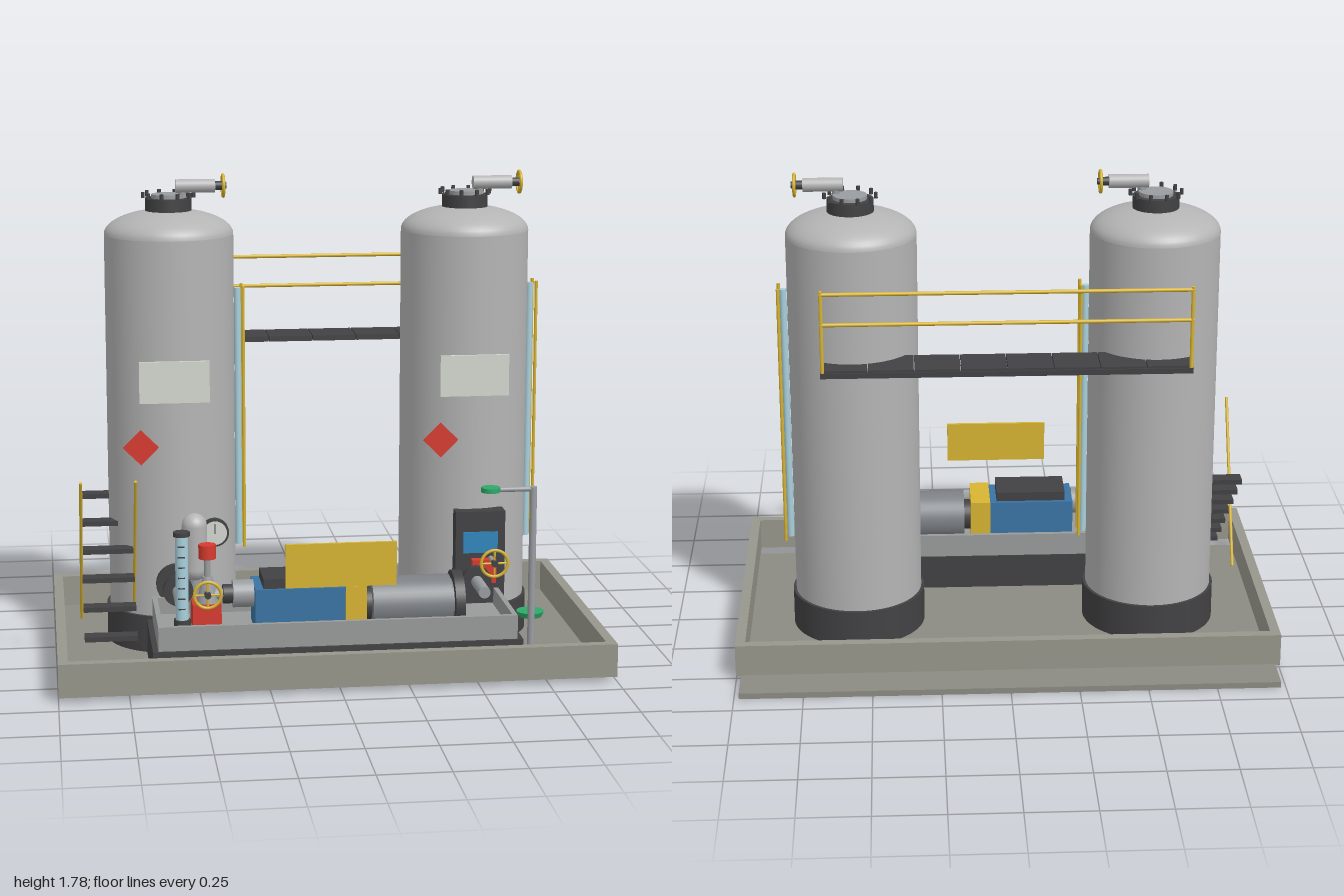
import * as THREE from 'three';

const mat = (color, side = THREE.FrontSide) => new THREE.MeshStandardMaterial({ color, side });
const M = {
  concrete: mat(0x98978c), slab: mat(0x8c8b82), steel: mat(0xb4b4b4), pipe: mat(0x9a9da0), dark: mat(0x424244),
  skid: mat(0x999b9b), yellow: mat(0xd8b432), blue: mat(0x3a74a4), glass: mat(0xa9d0dc), red: mat(0xd63a2e),
  green: mat(0x2fa86a), sign: mat(0xd4d8d0), screen: mat(0x2f86bd), motor: mat(0x7c8085),
};

function add(parent, name, geometry, material, x = 0, y = 0, z = 0) {
  const mesh = new THREE.Mesh(geometry, material);
  mesh.name = name;
  mesh.position.set(x, y, z);
  parent.add(mesh);
  return mesh;
}

// Box given by its limits on each axis
function box(parent, name, m, x0, x1, y0, y1, z0, z1) {
  return add(parent, name, new THREE.BoxGeometry(x1 - x0, y1 - y0, z1 - z0), m,
    (x0 + x1) / 2, (y0 + y1) / 2, (z0 + z1) / 2);
}

// Cylinder between two points
function rod(parent, name, m, a, b, r, r2 = r, sides = 24) {
  const p = new THREE.Vector3(...a), q = new THREE.Vector3(...b);
  const d = q.clone().sub(p);
  const mesh = add(parent, name, new THREE.CylinderGeometry(r2, r, d.length(), sides), m);
  mesh.position.copy(p).add(q).multiplyScalar(0.5);
  mesh.quaternion.setFromUnitVectors(new THREE.Vector3(0, 1, 0), d.normalize());
  return mesh;
}

// Handwheel with its axle along z
function handwheel(parent, x, y, z, r) {
  const wheel = new THREE.Group();
  wheel.name = 'handwheel';
  wheel.position.set(x, y, z);
  add(wheel, 'rim', new THREE.TorusGeometry(r, 0.006, 8, 32), M.yellow);
  rod(wheel, 'hub', M.dark, [0, 0, -0.012], [0, 0, 0.012], 0.012);
  for (let i = 0; i < 2; i++) {
    const t = i * Math.PI / 2, c = r * Math.cos(t), s = r * Math.sin(t);
    rod(wheel, 'spoke', M.yellow, [-c, -s, 0], [c, s, 0], 0.004, 0.004, 8);
  }
  parent.add(wheel);
  return wheel;
}

// Rectangular ring of four walls
function wallRing(parent, name, m, x, z0, z1, y0, y1, t) {
  box(parent, name, m, -x, x, y0, y1, z1 - t, z1);
  box(parent, name, m, -x, x, y0, y1, z0, z0 + t);
  for (const s of [-1, 1]) box(parent, name, m, s * (x - t / 2) - t / 2, s * (x - t / 2) + t / 2, y0, y1, z0 + t, z1 - t);
}

function tank(x) {
  const g = new THREE.Group();
  g.name = 'storageTank';
  g.position.set(x, 0, -0.05);
  rod(g, 'skirt', M.dark, [0, 0.02, 0], [0, 0.16, 0], 0.249, 0.249, 64);
  const profile = [[0.238, 0.15], [0.238, 1.556]].map(p => new THREE.Vector2(...p));
  add(g, 'shell', new THREE.LatheGeometry(profile, 64), M.steel);
  const dome = [];
  for (let i = 0; i <= 14; i++) {
    const t = i / 14 * Math.PI / 2;
    dome.push(new THREE.Vector2(0.238 * Math.cos(t), 1.556 + 0.092 * Math.sin(t)));
  }
  add(g, 'dome', new THREE.LatheGeometry(dome, 64), M.steel);

  // Top manway with bolts and vent valve
  rod(g, 'manwayNeck', M.dark, [0, 1.62, 0], [0, 1.688, 0], 0.085, 0.085, 40);
  rod(g, 'manwayCover', M.pipe, [0, 1.688, 0], [0, 1.702, 0], 0.062, 0.062, 40);
  for (let i = 0; i < 10; i++) {
    const t = i / 10 * Math.PI * 2, c = 0.093 * Math.cos(t), s = 0.093 * Math.sin(t);
    rod(g, 'bolt', M.dark, [c, 1.688, s], [c, 1.71, s], 0.007, 0.007, 8);
  }
  rod(g, 'ventStem', M.pipe, [0.05, 1.69, 0.025], [0.05, 1.73, 0.025], 0.015);
  rod(g, 'ventValve', M.steel, [0.025, 1.733, 0.027], [0.17, 1.733, 0.027], 0.025);
  rod(g, 'ventSpindle', M.dark, [0.17, 1.733, 0.027], [0.2, 1.733, 0.027], 0.016);
  handwheel(g, 0.2, 1.733, 0.027, 0.039).rotation.y = Math.PI / 2;

  // Level gauge on the side
  rod(g, 'gaugeGlass', M.glass, [0.252, 0.37, 0], [0.252, 1.35, 0], 0.013);
  for (const s of [-1, 1]) rod(g, 'gaugeGuard', M.yellow, [0.27, 0.365, s * 0.036], [0.27, 1.36, s * 0.036], 0.006, 0.006, 8);

  // Blank label and hazard diamond
  box(g, 'labelPlate', M.sign, -0.128, 0.128, 0.967, 1.12, 0.236, 0.248);
  const diamond = add(g, 'hazardDiamond', new THREE.BoxGeometry(0.092, 0.092, 0.01), M.red, -0.125, 0.805, 0.247);
  diamond.rotation.z = Math.PI / 4;
  return g;
}

function walkway() {
  const g = new THREE.Group();
  g.name = 'walkway';
  for (let i = 0; i < 8; i++) {
    const x = -0.668 + i * 0.167;
    box(g, 'gratingPanel', M.dark, x, x + 0.164, 1.118, 1.138, -0.355, -0.195);
  }
  box(g, 'walkwayEdge', M.dark, -0.668, 0.668, 1.11, 1.13, -0.36, -0.345);
  for (const s of [-1, 1]) rod(g, 'railPost', M.yellow, [s * 0.66, 1.12, -0.353], [s * 0.66, 1.435, -0.353], 0.007, 0.007, 10);
  for (const y of [1.31, 1.423]) rod(g, 'guardRail', M.yellow, [-0.665, y, -0.353], [0.665, y, -0.353], 0.007, 0.007, 10);
  return g;
}

function stairs() {
  const g = new THREE.Group();
  g.name = 'accessStairs';
  for (let i = 0; i < 7; i++) {
    const y = 0.08 + i * 0.082, z = 0.52 - i * 0.097;
    box(g, 'tread', M.dark, -0.9, -0.71, y - 0.009, y + 0.009, z - 0.029, z + 0.029);
  }
  for (const x of [-0.903, -0.708]) rod(g, 'handrail', M.yellow, [x, 0.14, 0.095], [x, 0.728, 0.405], 0.006, 0.006, 10);
  return g;
}

function pump() {
  const g = new THREE.Group();
  g.name = 'dosingPump';
  const y = 0.25, z = 0.4;
  box(g, 'driveHousing', M.blue, -0.29, 0.036, 0.17, 0.337, 0.303, 0.49);
  box(g, 'housingCover', M.dark, -0.26, 0.01, 0.337, 0.373, 0.318, 0.48);
  box(g, 'gearbox', M.yellow, 0.036, 0.112, 0.17, 0.342, 0.292, 0.5);
  rod(g, 'motorShaft', M.dark, [0.11, y, z], [0.14, y, z], 0.06);
  rod(g, 'motorBody', M.motor, [0.138, y, z], [0.428, y, z], 0.097, 0.097, 40);
  rod(g, 'motorNeck', M.motor, [0.42, y, z], [0.44, y, z], 0.08, 0.08, 40);
  rod(g, 'motorEndFlange', M.dark, [0.437, y, z], [0.473, y, z], 0.11, 0.11, 40);
  rod(g, 'pumpHead', M.pipe, [-0.365, 0.302, z], [-0.29, 0.302, z], 0.05);
  rod(g, 'pumpHeadFlange', M.dark, [-0.4, 0.302, z], [-0.365, 0.302, z], 0.035);
  rod(g, 'inletPipe', M.pipe, [-0.46, 0.302, z], [-0.4, 0.302, z], 0.02);
  return g;
}

function skid() {
  const g = new THREE.Group();
  g.name = 'injectionSkid';
  box(g, 'skidBase', M.dark, -0.665, 0.665, 0.02, 0.155, 0.2, 0.61);
  box(g, 'skidDeck', M.skid, -0.635, 0.635, 0.155, 0.18, 0.215, 0.59);
  wallRing(g, 'skidWall', M.skid, 0.645, 0.203, 0.6, 0.155, 0.243, 0.018);
  g.add(pump());

  // Outlet pipes from both tanks
  for (const x of [-0.555, 0.55]) {
    rod(g, 'outletPipe', M.pipe, [x, 0.29, 0.15], [x, 0.29, 0.46], 0.022);
    rod(g, 'tankFlange', M.dark, [x, 0.29, 0.19], [x, 0.29, 0.212], 0.075);
    rod(g, 'pipeFlange', M.dark, [x, 0.29, 0.28], [x, 0.29, 0.31], 0.055);
  }
  box(g, 'outletValve', M.red, 0.54, 0.63, 0.27, 0.36, 0.236, 0.27);
  rod(g, 'valveSpindle', M.pipe, [0.615, 0.357, 0.23], [0.615, 0.357, 0.31], 0.01);
  handwheel(g, 0.615, 0.357, 0.31, 0.05);

  // Calibration column
  rod(g, 'columnGlass', M.glass, [-0.555, 0.18, 0.525], [-0.555, 0.555, 0.525], 0.023);
  rod(g, 'columnFoot', M.dark, [-0.555, 0.18, 0.525], [-0.555, 0.25, 0.525], 0.03);
  rod(g, 'columnCap', M.dark, [-0.555, 0.555, 0.525], [-0.555, 0.57, 0.525], 0.03);
  for (let i = 0; i < 7; i++) box(g, 'columnTick', M.dark, -0.57, -0.545, 0.29 + i * 0.038, 0.294 + i * 0.038, 0.54, 0.55);

  // Pulsation damper with pressure gauge
  add(g, 'damper', new THREE.CapsuleGeometry(0.046, 0.16, 8, 28), M.steel, -0.492, 0.447, 0.275);
  rod(g, 'damperStem', M.pipe, [-0.492, 0.17, 0.275], [-0.492, 0.34, 0.275], 0.02);
  rod(g, 'gaugeArm', M.pipe, [-0.492, 0.49, 0.24], [-0.415, 0.49, 0.24], 0.008);
  rod(g, 'gaugeCase', M.dark, [-0.415, 0.49, 0.225], [-0.415, 0.49, 0.25], 0.052, 0.052, 32);
  rod(g, 'gaugeFace', M.sign, [-0.415, 0.49, 0.25], [-0.415, 0.49, 0.254], 0.044, 0.044, 32);
  box(g, 'gaugeNeedle', M.dark, -0.417, -0.413, 0.488, 0.525, 0.254, 0.257);

  // Actuated valve
  box(g, 'valveBody', M.red, -0.512, -0.408, 0.18, 0.275, 0.345, 0.445);
  rod(g, 'valveBonnet', M.pipe, [-0.455, 0.275, 0.4], [-0.455, 0.37, 0.4], 0.04, 0.018);
  rod(g, 'valveStem', M.pipe, [-0.455, 0.36, 0.4], [-0.455, 0.44, 0.4], 0.012);
  rod(g, 'valveActuator', M.red, [-0.455, 0.437, 0.4], [-0.455, 0.488, 0.4], 0.032);
  rod(g, 'wheelSpindle', M.pipe, [-0.46, 0.32, 0.4], [-0.46, 0.32, 0.475], 0.008);
  handwheel(g, -0.46, 0.32, 0.475, 0.048);

  // Control panel
  box(g, 'controlPanel', M.dark, 0.482, 0.668, 0.185, 0.537, 0.165, 0.235);
  box(g, 'panelScreen', M.screen, 0.51, 0.64, 0.38, 0.46, 0.235, 0.24);
  return g;
}

function safetyShower() {
  const g = new THREE.Group();
  g.name = 'safetyShower';
  rod(g, 'post', M.pipe, [0.7, 0.02, 0.567], [0.7, 0.708, 0.567], 0.013);
  rod(g, 'arm', M.pipe, [0.7, 0.7, 0.567], [0.545, 0.7, 0.567], 0.009);
  rod(g, 'showerHead', M.green, [0.545, 0.693, 0.567], [0.545, 0.71, 0.567], 0.034);
  rod(g, 'eyewashBowl', M.green, [0.705, 0.217, 0.525], [0.705, 0.237, 0.525], 0.042, 0.05, 32);
  return g;
}

export function createModel() {
  const model = new THREE.Group();
  model.name = 'acidDosingStation';

  // Containment tray
  box(model, 'floorSlab', M.slab, -0.982, 0.982, 0, 0.022, -0.663, 0.556);
  wallRing(model, 'trayWall', M.concrete, 1, -0.52, 0.662, 0.018, 0.14, 0.036);

  for (const x of [-0.553, 0.553]) model.add(tank(x));
  model.add(walkway(), stairs(), skid(), safetyShower());

  // Blank warning board
  box(model, 'warningBoard', M.yellow, -0.198, 0.196, 0.385, 0.543, 0.636, 0.648);
  return model;
}
